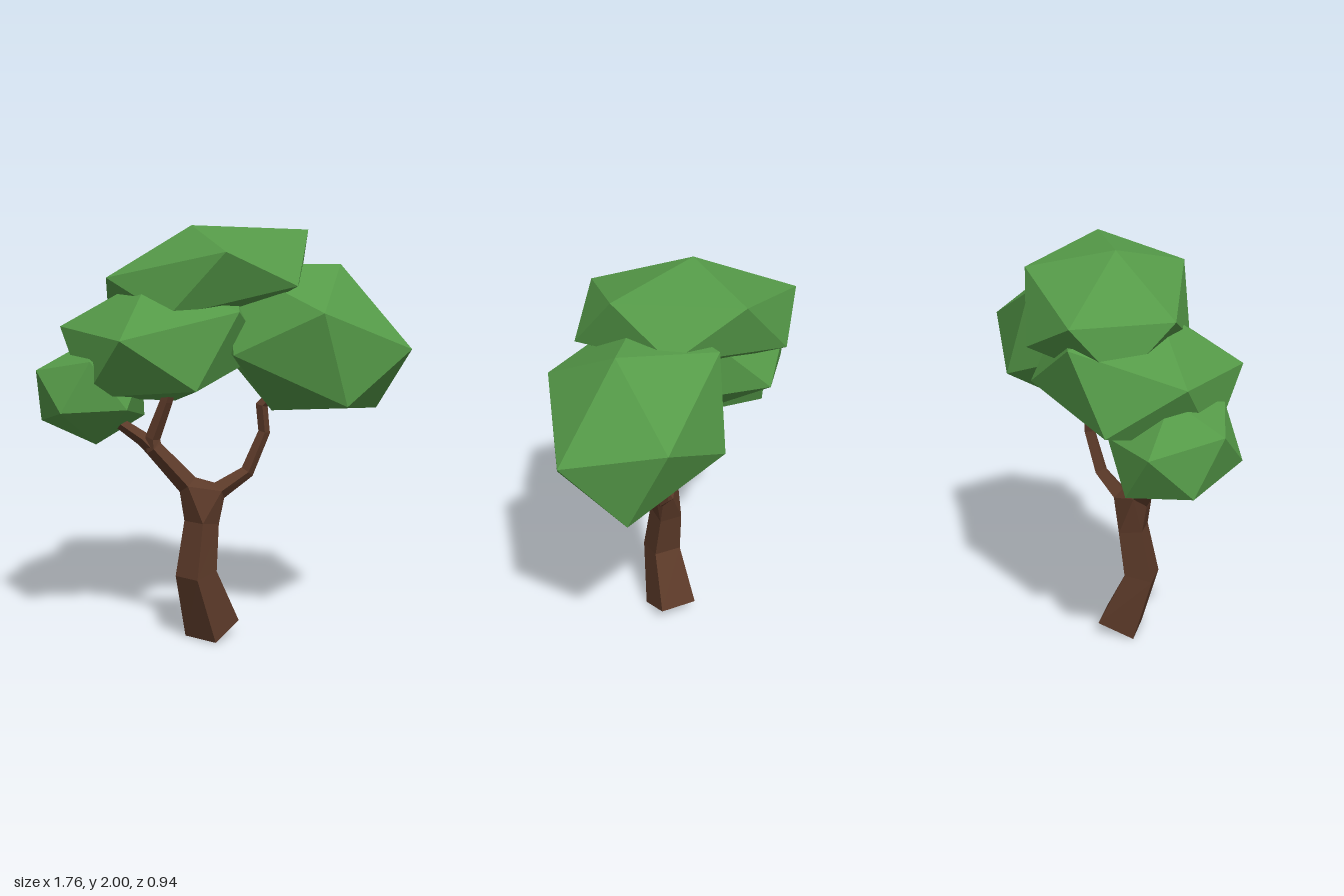
import * as THREE from 'three';
import { ConvexGeometry } from 'three/addons/geometries/ConvexGeometry.js';

const V = (a) => new THREE.Vector3(a[0], a[1], a[2]);
const bark = new THREE.MeshStandardMaterial({ color: 0x5c3a29, flatShading: true });
const leaf = new THREE.MeshStandardMaterial({ color: 0x559a48, flatShading: true });

// Four-cornered rings set square to a path of [x, y, z, radius] stations
function ringsAlong(path) {
  return path.map((p, i) => {
    const t = V(path[Math.min(i + 1, path.length - 1)]).sub(V(path[Math.max(i - 1, 0)])).normalize();
    const u = new THREE.Vector3(0, 0, 1).addScaledVector(t, -t.z).normalize();
    const v = new THREE.Vector3().crossVectors(t, u);
    return [0, 1, 2, 3].map((k) => V(p)
      .addScaledVector(u, p[3] * Math.cos(k * Math.PI / 2))
      .addScaledVector(v, p[3] * Math.sin(k * Math.PI / 2)));
  });
}

// Faceted limb skinned over the rings, closed at both ends
function limb(name, path) {
  const rings = ringsAlong(path);
  const pts = [];
  const quad = (a, b, c, d) => pts.push(a, b, c, a, c, d);
  for (let i = 0; i < rings.length - 1; i++) {
    for (let k = 0; k < 4; k++) {
      const n = (k + 1) % 4;
      quad(rings[i][k], rings[i][n], rings[i + 1][n], rings[i + 1][k]);
    }
  }
  const [a, b, c, d] = rings[0];
  quad(d, c, b, a);
  quad(...rings[rings.length - 1]);
  const geometry = new THREE.BufferGeometry().setFromPoints(pts);
  geometry.computeVertexNormals();
  return named(name, geometry, bark);
}

// Stretched icosahedron: six corners plus their reflections through the centre
function foliage(name, centre, corners) {
  const pts = corners.map(V);
  const opposite = pts.map((p) => V(centre).multiplyScalar(2).sub(p));
  return named(name, new ConvexGeometry([...pts, ...opposite]), leaf);
}

function named(name, geometry, material) {
  const mesh = new THREE.Mesh(geometry, material);
  mesh.name = name;
  return mesh;
}

export function createModel() {
  const tree = new THREE.Group();
  tree.name = 'tree';

  // Trunk and branches
  const trunk = [[-0.05, 0.035, 0.067, 0.137], [-0.132, 0.337, 0.142, 0.1], [-0.103, 0.583, 0.108, 0.084]];
  const leftBranch = [[-0.17, 0.773, 0.12, 0.052], [-0.33, 0.95, 0.11, 0.042],
    [-0.335, 1.0, 0.105, 0.036], [-0.27, 1.18, 0.135, 0.03], [-0.25, 1.25, 0.14, 0.028]];
  const sideBranch = [[-0.29, 0.905, 0.11, 0.042], [-0.38, 0.99, 0.08, 0.035], [-0.52, 1.085, 0.05, 0.026]];
  const rightBranch = [[-0.015, 0.735, 0.085, 0.045], [0.123, 0.818, 0.05, 0.034],
    [0.207, 1.01, 0.03, 0.029], [0.195, 1.14, 0.025, 0.03], [0.26, 1.21, 0.025, 0.025]];
  tree.add(
    limb('trunk', trunk),
    limb('leftBranch', leftBranch),
    limb('sideBranch', sideBranch),
    limb('rightBranch', rightBranch),
  );

  // Crotch joining the trunk top to the two main branches
  const joint = [ringsAlong(trunk)[2], ringsAlong(leftBranch)[0], ringsAlong(rightBranch)[0]].flat();
  tree.add(named('crotch', new ConvexGeometry(joint), bark));

  // Leaf masses
  tree.add(
    foliage('topFoliage', [-0.075, 1.75, -0.022], [
      [-0.14, 2.0, -0.02], [-0.467, 1.77, -0.427], [0.115, 1.91, -0.35],
      [0.39, 1.98, 0.178], [-0.01, 1.884, 0.428], [-0.547, 1.757, 0.052]]),
    foliage('largeSideFoliage', [0.4, 1.468, 0.065], [
      [0.876, 1.429, 0.243], [0.426, 1.614, 0.47], [0.558, 1.82, 0.095],
      [0.548, 1.182, 0.4], [0.765, 1.116, -0.02], [0.77, 1.52, -0.211]]),
    foliage('middleFoliage', [-0.28, 1.463, 0.018], [
      [-0.485, 1.495, 0.458], [-0.77, 1.524, -0.023], [-0.34, 1.768, 0.082],
      [0.055, 1.615, 0.37], [-0.145, 1.265, 0.443], [-0.647, 1.21, 0.2]]),
    foliage('smallFoliage', [-0.626, 1.206, 0.013], [
      [-0.76, 1.148, 0.28], [-0.88, 1.328, 0.1], [-0.87, 1.069, -0.044],
      [-0.606, 0.963, 0.055], [-0.455, 1.157, 0.255], [-0.622, 1.384, 0.268]]),
  );
  return tree;
}
